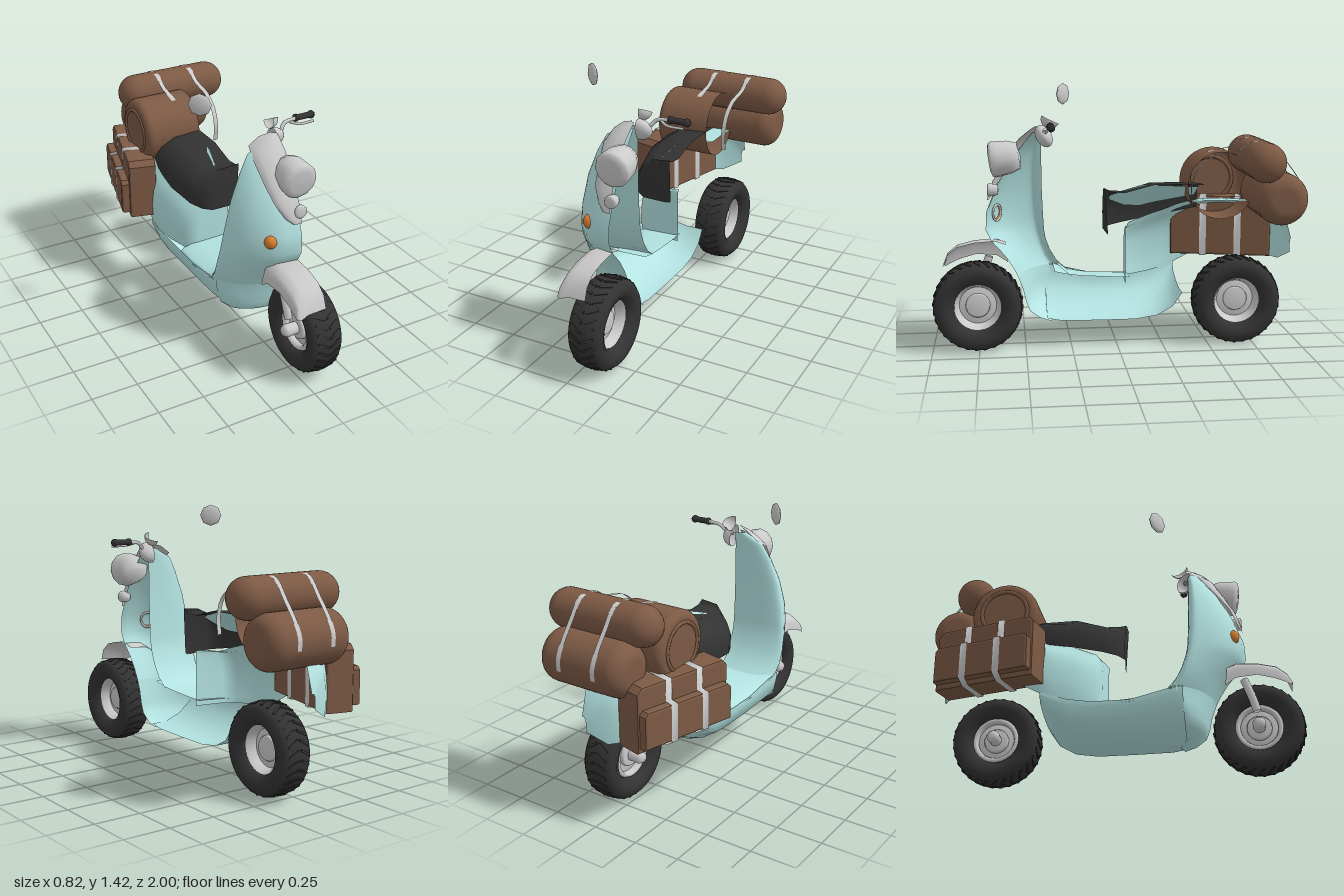
import * as THREE from 'three';

const CX = 0.083; // centre plane of the scooter; the bodywork is a half shell beside it
const mat = (color) => new THREE.MeshStandardMaterial({ color, side: THREE.DoubleSide });
const teal = mat(0xb4e4e2), brown = mat(0x7d5a45), dark = mat(0x333333), grey = mat(0xcccccc), orange = mat(0xd9812f);
const V = (x, y, z) => new THREE.Vector3(x, y, z);
const mix = THREE.MathUtils.lerp;

function add(parent, name, geo, material, x = 0, y = 0, z = 0) {
  const m = new THREE.Mesh(geo, material);
  m.name = name;
  m.position.set(x, y, z);
  parent.add(m);
  return m;
}

// Skin over a list of cross-sections, each a list of points
function loft(rows, smooth = 0) {
  const rs = smooth ? rows.map((r) => new THREE.CatmullRomCurve3(r, false, 'centripetal').getPoints(smooth)) : rows;
  const n = rs[0].length, pos = [], idx = [];
  rs.forEach((r) => r.forEach((p) => pos.push(p.x, p.y, p.z)));
  for (let i = 0; i < rs.length - 1; i++) {
    for (let j = 0; j < n - 1; j++) {
      const a = i * n + j, b = a + n;
      idx.push(a, b, a + 1, a + 1, b, b + 1);
    }
  }
  const g = new THREE.BufferGeometry();
  g.setAttribute('position', new THREE.Float32BufferAttribute(pos, 3));
  g.setIndex(idx);
  g.computeVertexNormals();
  return g;
}

// Surface of revolution about the x axis, profile as [radius, offset towards -x]
const latheX = (pts, seg = 32) =>
  new THREE.LatheGeometry(pts.map(([r, o]) => new THREE.Vector2(r, o)), seg).rotateZ(Math.PI / 2);
const tube = (pts, r) => new THREE.TubeGeometry(new THREE.CatmullRomCurve3(pts), 16, r, 8);

function wheel(root, name, z) {
  const w = new THREE.Group();
  w.name = name;
  w.position.set(CX, 0.25, z);
  root.add(w);
  const tyre = [[0.125, -0.05], [0.14, -0.075], [0.175, -0.092], [0.21, -0.088], [0.232, -0.064], [0.24, 0],
    [0.232, 0.064], [0.21, 0.088], [0.175, 0.092], [0.14, 0.075], [0.125, 0.05], [0.12, 0], [0.125, -0.05]];
  add(w, 'tyre', latheX(tyre, 40), dark);
  // chevron tread blocks
  for (let i = 0; i < 30; i++) {
    const pivot = new THREE.Group();
    pivot.rotation.x = (i / 30) * Math.PI * 2;
    w.add(pivot);
    for (const s of [-1, 1]) {
      const t = add(pivot, 'tread', new THREE.BoxGeometry(0.066, 0.01, 0.012), dark, s * 0.034, 0.2345, 0);
      t.rotation.set(0, s * 0.5, -s * 0.14);
    }
  }
  // rim dished towards the axle side
  add(w, 'rim', latheX([[0.125, -0.045], [0.115, -0.03], [0.1, 0.01], [0.098, 0.04], [0.105, 0.058],
    [0.12, 0.058], [0.127, 0.045]]), grey);
  add(w, 'rimDisc', latheX([[0, 0.005], [0.1, 0.005], [0.1, 0.025], [0, 0.025]]), grey);
  add(w, 'hub', latheX([[0, -0.015], [0.06, -0.015], [0.066, -0.005], [0.066, 0.04], [0.06, 0.05], [0, 0.05]]), grey);
  add(w, 'axle', latheX([[0, 0], [0.03, 0], [0.035, 0.11], [0.022, 0.13], [0, 0.13]], 16), grey);
}

// Rounded end of a roll, profile as [radius, x]
function roundedEnd(x0, r, e) {
  const pts = [[0, x0]];
  for (let i = 0; i <= 8; i++) {
    const a = (i / 8) * Math.PI / 2;
    pts.push([r - e + e * Math.sin(a), x0 + e - e * Math.cos(a)]);
  }
  return pts;
}

// Bag roll lying along x with two rounded ends
function roll(root, name, x0, x1, y, z, r, e) {
  const near = roundedEnd(x0, r, e);
  const far = near.map(([q, o]) => [q, x0 + x1 - o]).reverse();
  add(root, name, latheX([...near, ...far].map(([q, o]) => [q, -o]).reverse(), 36), brown, 0, y, z);
}

// Flat strap across x, following a path of [z, y]
function strap(root, x, path) {
  const pts = new THREE.CatmullRomCurve3(path.map(([z, y]) => V(x, y, z)), false, 'centripetal').getPoints(36);
  add(root, 'luggageStrap', loft(pts.map((p) => [-0.013, 0.013].map((dx) => V(p.x + dx, p.y, p.z)))), grey);
}

export function createModel() {
  const root = new THREE.Group();
  root.name = 'scooter';
  wheel(root, 'frontWheel', 0.755);
  wheel(root, 'rearWheel', -0.655);

  // Leg shield: height, edge x, edge z, front z, back z
  const shield = [[1.18, 0.03, 0.42, 0.45, 0.4], [1.12, -0.08, 0.43, 0.5, 0.405], [1.03, -0.128, 0.44, 0.57, 0.405],
    [0.9, -0.178, 0.445, 0.645, 0.405], [0.76, -0.208, 0.44, 0.7, 0.4], [0.66, -0.222, 0.43, 0.705, 0.395],
    [0.6, -0.228, 0.42, 0.675, 0.385], [0.52, -0.235, 0.4, 0.605, 0.355], [0.45, -0.234, 0.375, 0.56, 0.31],
    [0.4, -0.228, 0.34, 0.535, 0.25]];
  const shieldRow = ([y, xe, ze, zf, zb]) => {
    const X = (t) => mix(CX, xe, t);
    return [V(CX, y, zf), V(X(0.4), y, mix(zf, ze, 0.1)), V(X(0.75), y, mix(zf, ze, 0.42)), V(X(0.95), y, mix(zf, ze, 0.8)),
      V(xe, y, ze), V(X(0.88), y, mix(ze, zb, 0.5)), V(X(0.5), y, mix(ze, zb, 0.9)), V(CX, y, zb)];
  };
  add(root, 'legShield', loft(shield.map(shieldRow), 21), teal);

  // Wall behind the front wheel, running down to the belly
  const wall = [shield[9], [0.33, -0.215, 0.36, 0.51, 0], [0.26, -0.198, 0.38, 0.495, 0], [0.21, -0.14, 0.38, 0.475, 0],
    [0.17, -0.05, 0.38, 0.42, 0], [0.15, 0.03, 0.34, 0.36, 0]];
  add(root, 'frontWall', loft(wall.map((r) => shieldRow(r).slice(0, 5)), 12), teal);

  // Footboard: z, centre height, rim height, edge x
  const board = [[0.34, 0.425, 0.41, -0.226], [0.27, 0.41, 0.38, -0.22], [0.2, 0.4, 0.355, -0.214], [0.05, 0.39, 0.345, -0.21], [-0.07, 0.385, 0.345, -0.21]];
  add(root, 'footboard', loft(board.map(([z, yc, yr, xe]) =>
    [V(CX, yc, z), V(mix(CX, xe, 0.6), mix(yc, yr, 0.3), z), V(mix(CX, xe, 0.93), mix(yc, yr, 0.8), z), V(xe, yr - 0.015, z)])), teal);

  // Belly under the footboard: z, rim height, edge x, bottom
  const belly = [[0.38, 0.4, -0.222, 0.165], [0.3, 0.39, -0.222, 0.15], [0.1, 0.345, -0.21, 0.147],
    [-0.1, 0.345, -0.212, 0.147], [-0.22, 0.36, -0.225, 0.165], [-0.31, 0.38, -0.24, 0.215], [-0.36, 0.4, -0.245, 0.29]];
  add(root, 'belly', loft(belly.map(([z, yr, xe, yb]) => [V(xe, yr, z), V(xe, mix(yr, yb, 0.15), z),
    V(mix(CX, xe, 0.94), mix(yr, yb, 0.5), z), V(mix(CX, xe, 0.62), mix(yr, yb, 0.84), z),
    V(mix(CX, xe, 0.3), yb, z), V(CX, yb, z)])), teal);

  // Rear cowl: z, top, edge x, bottom, where the top opening under the seat starts
  const cowl = [[-0.045, 0.66, 0.08, 0.35, 0], [-0.055, 0.66, -0.1, 0.345, 0], [-0.085, 0.68, -0.175, 0.34, 0.8], [-0.2, 0.72, -0.218, 0.35, 0.8],
    [-0.3, 0.75, -0.242, 0.37, 0.8], [-0.37, 0.775, -0.248, 0.4, 0.8], [-0.46, 0.795, -0.238, 0.45, 0.8], [-0.48, 0.8, -0.235, 0.455, 0], [-0.6, 0.8, -0.213, 0.49, 0],
    [-0.75, 0.79, -0.175, 0.48, 0], [-0.86, 0.765, -0.122, 0.455, 0], [-0.925, 0.72, -0.045, 0.445, 0], [-0.965, 0.58, 0.06, 0.5, 0]];
  add(root, 'rearCowl', loft(cowl.map(([z, yt, xe, yb, open]) => {
    const P = (t, k) => V(mix(CX, xe, Math.max(t, open)), mix(yt, yb, open ? Math.max(k, 0.15) : k), z);
    return [P(0, 0), P(0.5, 0.03), P(0.8, 0.15), P(0.95, 0.36), P(1, 0.75), P(0.97, 1)];
  }), 14), teal);

  // Seat: z, top, edge x, bottom
  const seat = [[0.05, 0.63, 0.06, 0.62], [0.065, 0.875, -0.08, 0.63], [0.03, 0.855, -0.13, 0.635], [-0.04, 0.848, -0.165, 0.645],
    [-0.2, 0.89, -0.195, 0.67], [-0.38, 0.89, -0.19, 0.705], [-0.48, 0.885, -0.17, 0.725]];
  add(root, 'seat', loft(seat.map(([z, yt, xe, yb]) => [V(CX, yt, z), V(mix(CX, xe, 0.6), yt - 0.01, z),
    V(mix(CX, xe, 0.88), mix(yt, yb, 0.3), z), V(xe, mix(yt, yb, 0.6), z), V(mix(CX, xe, 0.98), yb, z)])), dark);
  // seat pan inside the seat: z, inner x and y, outer x and y
  const pan = [[0.03, -0.03, 0.82, -0.08, 0.79], [-0.06, 0, 0.855, -0.12, 0.75], [-0.15, 0.02, 0.885, -0.15, 0.74],
    [-0.24, 0.03, 0.88, -0.15, 0.76], [-0.46, 0, 0.865, -0.13, 0.8]];
  add(root, 'seatPan', loft(pan.map(([z, x0, y0, x1, y1]) => [V(x0, y0, z), V(x1, y1, z)])), teal);

  // Front fender: half arch over the wheel
  const arch = [[0.94, 0.46, 0.435], [0.915, 0.525, 0.45], [0.86, 0.57, 0.475], [0.77, 0.592, 0.5], [0.66, 0.6, 0.49], [0.6, 0.58, 0.45]];
  add(root, 'frontFender', loft(arch.map(([z, yt, yb]) => [V(CX, yt, z), V(-0.02, yt - 0.004, z), V(-0.06, yt - 0.025, z),
    V(-0.075, mix(yt, yb, 0.55), z), V(-0.078, yb, z - 0.01)])), grey);
  add(root, 'fork', tube([V(-0.012, 0.32, 0.75), V(-0.016, 0.39, 0.73), V(-0.02, 0.5, 0.69)], 0.022), grey);

  // Headlight shell on the shield: y, edge x, edge z, front z
  const nose = [[1.21, 0.06, 0.42, 0.44], [1.19, 0, 0.4, 0.47], [1.15, -0.055, 0.4, 0.52], [1.1, -0.07, 0.48, 0.56],
    [1.0, -0.055, 0.565, 0.62], [0.92, -0.035, 0.63, 0.665], [0.85, 0.005, 0.665, 0.69], [0.82, 0.04, 0.685, 0.695]];
  add(root, 'headlightShell', loft(nose.map(([y, xe, ze, zf]) => [V(CX, y, zf), V(mix(CX, xe, 0.5), y, mix(zf, ze, 0.12)),
    V(mix(CX, xe, 0.85), y, mix(zf, ze, 0.5)), V(xe, y, ze)]), 8), grey);
  const lampProfile = [[0, 0.08], [0.06, 0.078], [0.088, 0.07], [0.096, 0.055], [0.094, 0.03], [0.088, -0.03], [0.07, -0.08], [0, -0.09]];
  const lamp = (name, y, z, s, tilt) => {
    const g = new THREE.LatheGeometry(lampProfile.map(([r, o]) => new THREE.Vector2(r * s, o * s)).reverse(), 12);
    add(root, name, g.rotateX(Math.PI / 2 + tilt), grey, CX, y, z);
  };
  lamp('headlight', 1.047, 0.604, 1, 0.14);
  lamp('hornLamp', 0.878, 0.665, 0.36, 0);

  // Turn signal on its ring, facing out from the shield
  const signal = new THREE.Group();
  signal.name = 'turnSignal';
  signal.position.set(-0.063, 0.73, 0.644);
  signal.rotation.y = -0.6;
  signal.scale.y = 1.15;
  root.add(signal);
  add(signal, 'signalRing', new THREE.TorusGeometry(0.038, 0.006, 8, 20), grey);
  add(signal, 'signalLens', new THREE.SphereGeometry(0.034, 16, 8, 0, Math.PI * 2, 0, Math.PI / 2).rotateX(Math.PI / 2), orange);

  // Handlebar with grip, lever and gauge
  const head = add(root, 'steeringHead', new THREE.SphereGeometry(0.07, 14, 10, Math.PI / 2, Math.PI), grey, CX, 1.16, 0.39);
  head.scale.set(1, 0.9, 0.6);
  head.rotation.x = 0.5;
  add(root, 'handlebar', tube([V(0.09, 1.17, 0.39), V(0.14, 1.185, 0.385), V(0.17, 1.215, 0.37), V(0.24, 1.225, 0.365)], 0.01), grey);
  add(root, 'grip', latheX([[0, -0.055], [0.012, -0.055], [0.012, -0.045], [0.021, -0.045], [0.021, -0.032], [0.016, -0.03],
    [0.016, 0.045], [0.02, 0.047], [0.02, 0.06], [0, 0.06]], 14), dark, 0.295, 1.225, 0.363);
  add(root, 'brakeLever', tube([V(0.2, 1.215, 0.375), V(0.24, 1.205, 0.395), V(0.33, 1.203, 0.395)], 0.007), grey);
  const gauge = add(root, 'gauge', new THREE.SphereGeometry(0.05, 14, 8, Math.PI / 2, Math.PI, Math.PI / 2, Math.PI / 2), grey, CX, 1.248, 0.355);
  gauge.rotation.x = -0.45;
  const mirror = add(root, 'mirror', new THREE.SphereGeometry(0.06, 8, 8).rotateX(Math.PI / 2), grey, -0.255, 1.362, 0.268);
  mirror.scale.z = 0.28;
  mirror.rotation.y = -0.66;

  // Rolled luggage behind the seat; the large roll is open on the centre plane
  const rolled = new THREE.Group();
  rolled.name = 'rolledLuggage';
  root.add(rolled);
  const large = [...roundedEnd(-0.235, 0.183, 0.04), [0.183, CX]].map(([q, o]) => [q, -o]).reverse();
  add(rolled, 'largeRoll', latheX(large, 36), brown, 0, 0.88, -0.57);
  add(rolled, 'rollEnd', new THREE.TorusGeometry(0.125, 0.012, 8, 28).rotateY(Math.PI / 2), brown, -0.232, 0.88, -0.57);
  roll(rolled, 'rearRoll', -0.165, 0.34, 0.83, -0.857, 0.14, 0.08);
  roll(rolled, 'topRoll', -0.24, 0.41, 1.03, -0.757, 0.105, 0.1);
  const over = [[-0.5, 1.052], [-0.57, 1.068], [-0.64, 1.085], [-0.7, 1.125], [-0.757, 1.133], [-0.82, 1.12], [-0.89, 1.03], [-0.96, 0.935], [-0.996, 0.86], [-0.995, 0.8]];
  strap(rolled, -0.02, over);
  strap(rolled, 0.19, [[-0.395, 0.8], [-0.385, 0.89], [-0.42, 0.99], ...over]);

  // Side pannier cutting into the cowl, angled outwards at the front
  const pannier = new THREE.Group();
  pannier.name = 'sidePannier';
  pannier.position.set(-0.15, 0, -0.615);
  pannier.rotation.y = -0.25;
  root.add(pannier);
  const slab = (name, half, y0, y1, x0, x1, c) => {
    const b = 0.012, s = new THREE.Shape();
    [[-half, y0], [half, y0], [half, y1 - c], [half - c, y1], [c - half, y1], [-half, y1 - c]]
      .forEach(([a, y], i) => (i ? s.lineTo(a, y) : s.moveTo(a, y)));
    const g = new THREE.ExtrudeGeometry(s, { depth: x1 - x0 - 2 * b, bevelThickness: b, bevelSize: b, bevelOffset: -b, bevelSegments: 2 });
    add(pannier, name, g.rotateY(Math.PI / 2), brown, x0 + b, 0, 0);
  };
  slab('pannierBody', 0.285, 0.445, 0.785, -0.155, 0, 0.03);
  slab('pannierPocket', 0.275, 0.475, 0.67, -0.2, -0.145, 0.02);
  // straps wrapped right round
  const loop = [[0.003, 0.442], [0.003, 0.788], [-0.158, 0.788], [-0.16, 0.675], [-0.203, 0.672], [-0.203, 0.472], [-0.157, 0.442], [0.003, 0.442]];
  for (const z of [0.098, -0.098]) {
    add(pannier, 'pannierStrap', loft([z - 0.019, z + 0.019].map((q) => loop.map(([x, y]) => V(x, y, q)))), grey);
  }
  return root;
}
